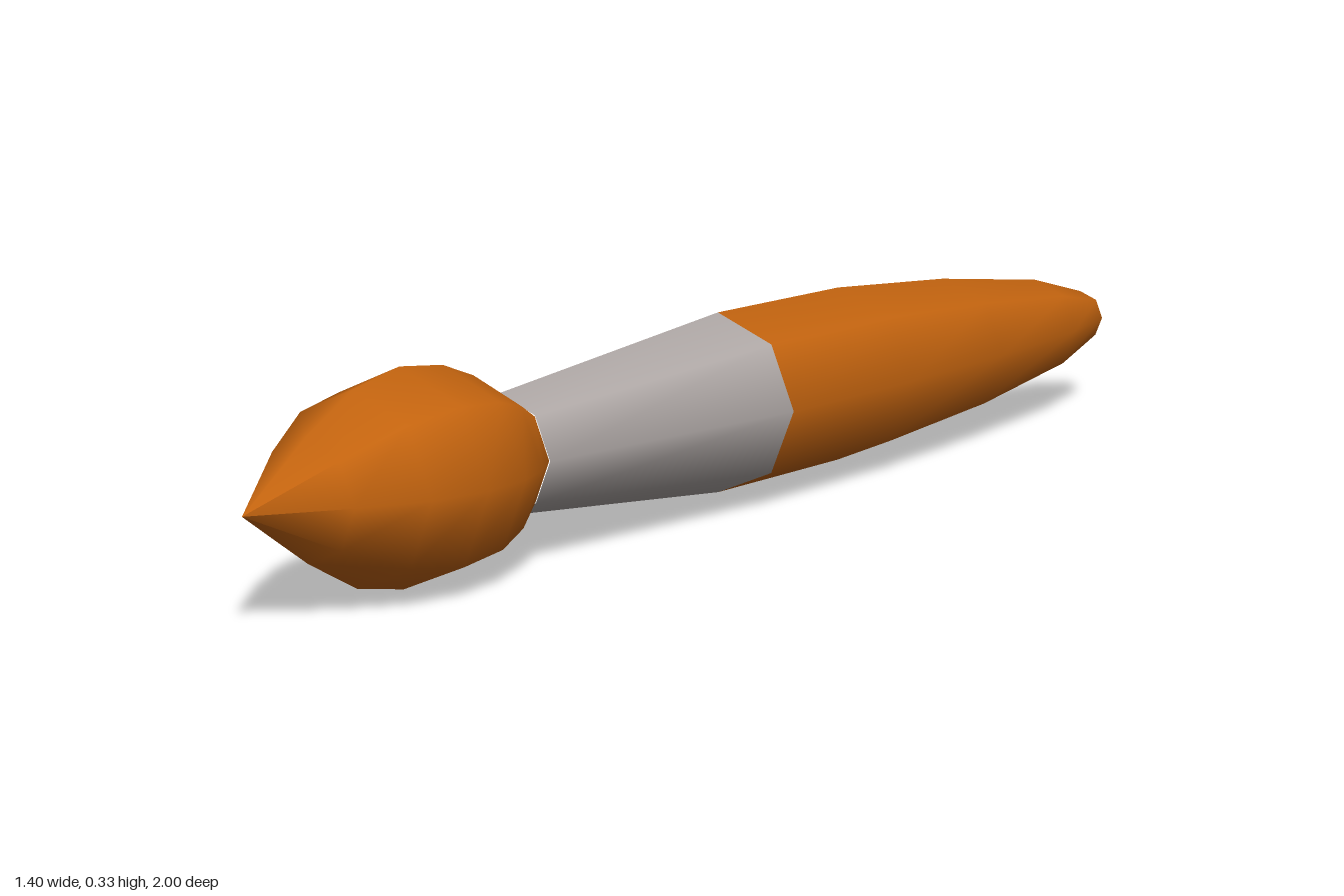
import * as THREE from 'three';

const SIDES = 8;

// Lathe along the brush axis; profile rows are [radius, distance from the middle]
function turned(name, profile, material) {
  const points = profile.map(([r, t]) => new THREE.Vector2(r, t));
  const geometry = new THREE.LatheGeometry(points, SIDES);
  geometry.rotateX(-Math.PI / 2); // lay the axis down, handle end to the back
  const mesh = new THREE.Mesh(geometry, material);
  mesh.name = name;
  return mesh;
}

export function createModel() {
  const orange = new THREE.MeshStandardMaterial({ color: 0xc4640f });
  orange.name = 'orange';
  const grey = new THREE.MeshStandardMaterial({ color: 0xb0a9a7 });
  grey.name = 'warm grey';

  const brush = new THREE.Group();
  brush.name = 'paintbrush';

  // Teardrop bristle head, pointed at the front
  brush.add(turned('bristles', [
    [0, -1.218], [0.09, -1.09], [0.145, -0.99], [0.165, -0.89],
    [0.155, -0.795], [0.13, -0.725], [0.092, -0.662],
  ], orange));

  // Tapered metal collar
  brush.add(turned('ferrule', [
    [0.095, -0.664], [0.152, -0.096],
  ], grey));

  // Long handle, swelling slightly and then narrowing to a blunt tip
  brush.add(turned('handle', [
    [0.152, -0.096], [0.154, 0.269], [0.132, 0.622],
    [0.093, 0.97], [0.05, 1.157], [0, 1.218],
  ], orange));

  // Lying diagonally on the ground
  brush.rotation.y = -0.61;
  brush.position.y = 0.165;

  const model = new THREE.Group();
  model.name = 'model';
  model.add(brush);
  return model;
}
